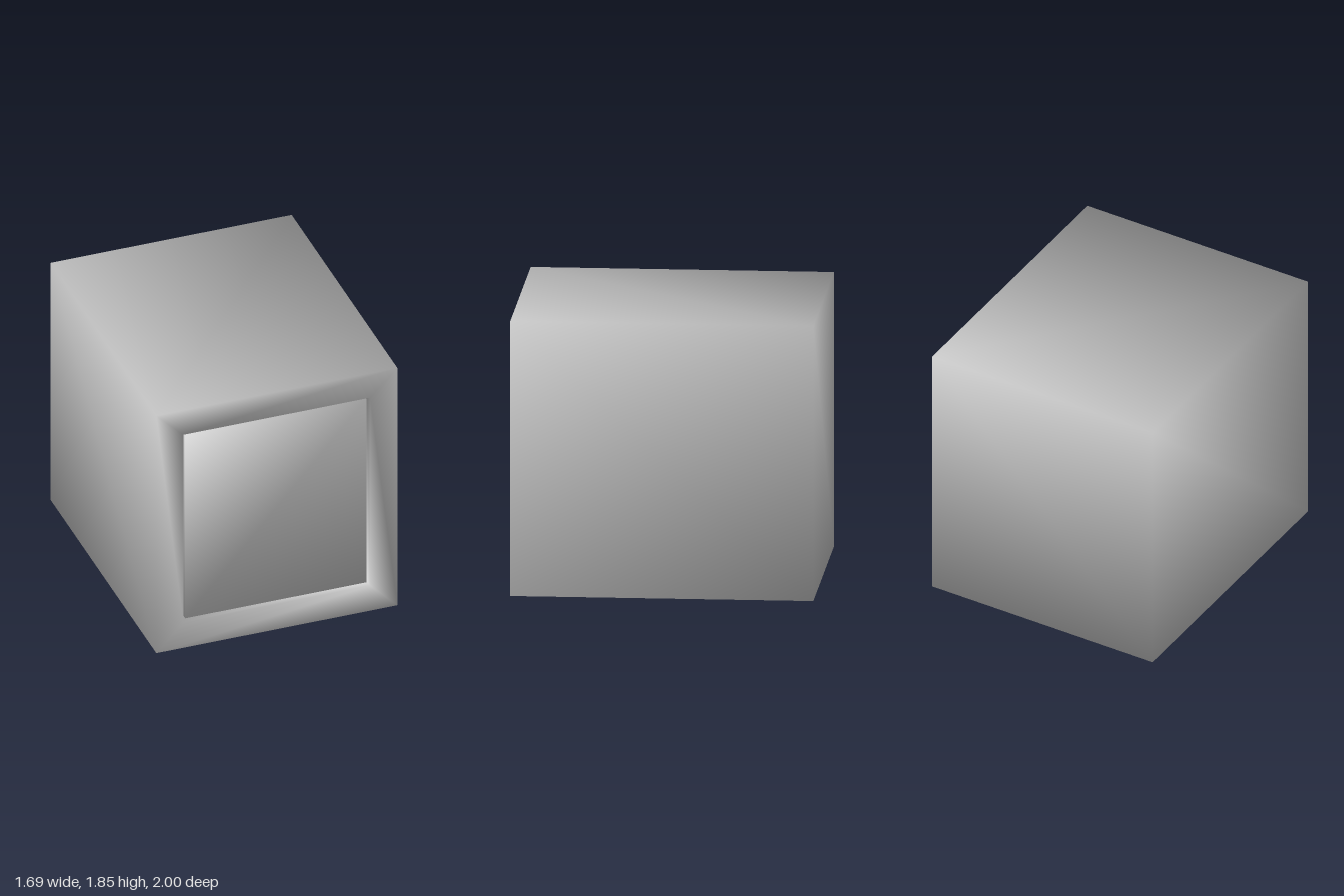
import * as THREE from 'three';

// Rectangle loop at depth z, counter-clockwise seen from +z
const rect = (halfWidth, bottom, top, z) => [
  new THREE.Vector3(-halfWidth, bottom, z),
  new THREE.Vector3(halfWidth, bottom, z),
  new THREE.Vector3(halfWidth, top, z),
  new THREE.Vector3(-halfWidth, top, z),
];

// Skins four-cornered loops into a closed solid whose corners share smooth normals
function skin(loops) {
  const points = loops.flat();
  const normals = points.map(() => new THREE.Vector3());
  const index = [];
  const quad = (a, b, c, d) => {
    index.push(a, b, c, a, c, d);
    const n = points[b].clone().sub(points[a]).cross(points[d].clone().sub(points[a])).normalize();
    for (const k of [a, b, c, d]) normals[k].add(n);
  };
  quad(0, 3, 2, 1);
  for (let l = 0; l < loops.length - 1; l++) {
    for (let i = 0; i < 4; i++) {
      const a = l * 4 + i, b = l * 4 + (i + 1) % 4;
      quad(a, b, b + 4, a + 4);
    }
  }
  const e = points.length - 4;
  quad(e, e + 1, e + 2, e + 3);

  const geometry = new THREE.BufferGeometry().setFromPoints(points);
  geometry.setAttribute('normal', new THREE.Float32BufferAttribute(
    normals.flatMap((n) => n.normalize().toArray()), 3));
  geometry.setIndex(index);
  return geometry;
}

export function createModel() {
  const group = new THREE.Group();
  const material = new THREE.MeshStandardMaterial({ color: 0xcccccc });
  const add = (name, geometry) => {
    const mesh = new THREE.Mesh(geometry, material);
    mesh.name = name;
    group.add(mesh);
  };

  // Box body with a shallow recess framed on its front
  add('body', skin([
    rect(0.845, 0, 1.85, -1),
    rect(0.845, 0, 1.85, 1),
    rect(0.655, 0.195, 1.66, 1),
    rect(0.655, 0.195, 1.66, 0.94),
  ]));

  // Panel set into the recess with a narrow gap all round
  add('frontPanel', skin([
    rect(0.635, 0.213, 1.642, 0.94),
    rect(0.635, 0.213, 1.642, 0.98),
  ]));

  return group;
}
